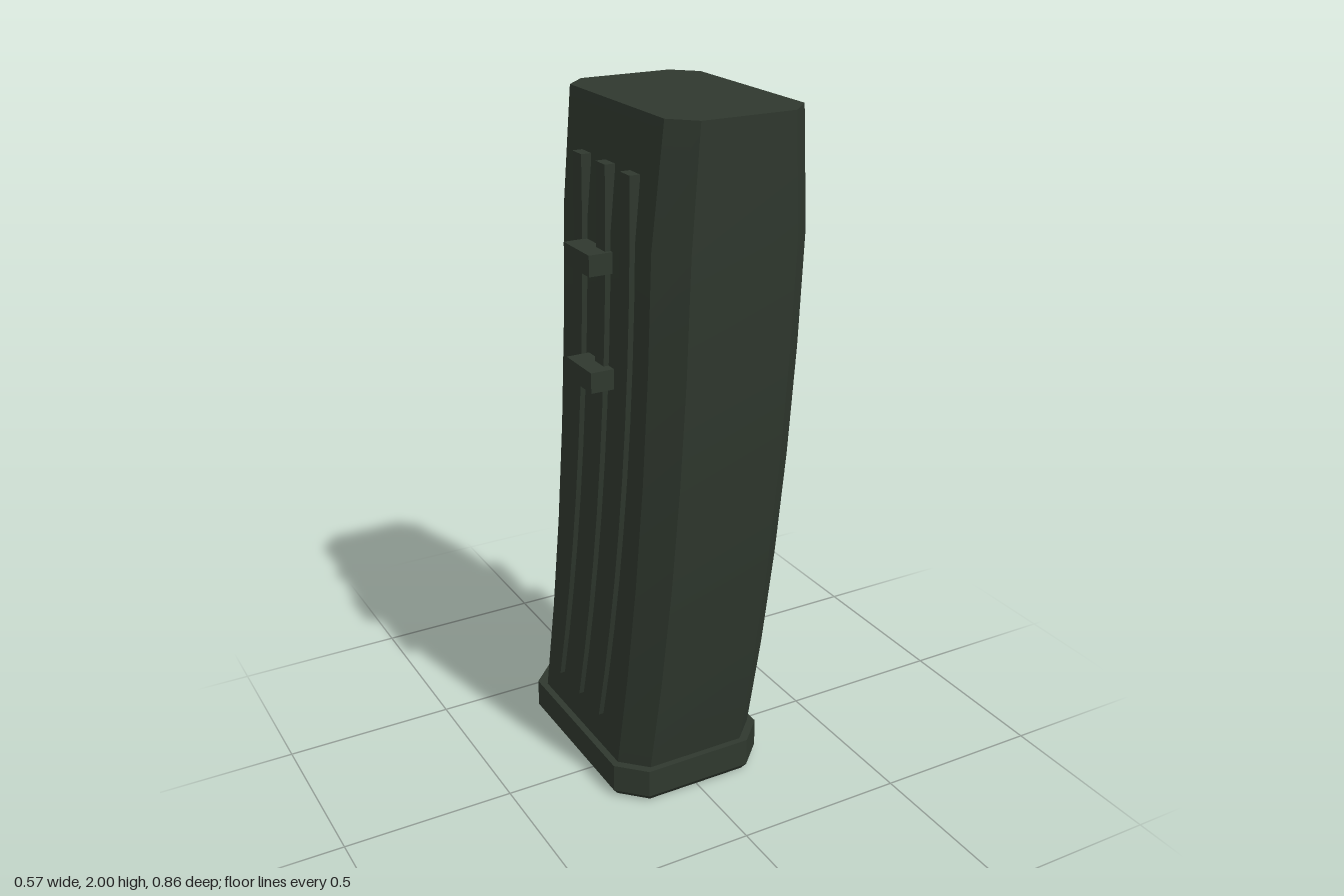
import * as THREE from 'three';
import { toCreasedNormals } from 'three/addons/utils/BufferGeometryUtils.js';

// Octagonal ring: half width, front z, back z and corner chamfer
const octagon = (hx, zf, zb, c) => [
  [hx, zf - c], [hx - c, zf], [c - hx, zf], [-hx, zf - c],
  [-hx, zb + c], [c - hx, zb], [hx - c, zb], [hx, zb + c],
];

// Rectangular ring around a centre
const rectangle = (x, z, hx, hz) => [
  [x + hx, z - hz], [x + hx, z + hz], [x - hx, z + hz], [x - hx, z - hz],
];

// Closed solid through level rings, listed bottom to top as { y, ring }
function loft(levels) {
  const pos = [];
  const n = levels[0].ring.length;
  const put = (level, i) => {
    const [x, z] = level.ring[i % n];
    pos.push(x, level.y, z);
  };
  for (let k = 0; k < levels.length - 1; k++) {
    const lo = levels[k], hi = levels[k + 1];
    for (let i = 0; i < n; i++) {
      put(lo, i); put(hi, i); put(lo, i + 1);
      put(lo, i + 1); put(hi, i); put(hi, i + 1);
    }
  }
  const bottom = levels[0], top = levels[levels.length - 1];
  for (let i = 1; i < n - 1; i++) {
    put(bottom, 0); put(bottom, i); put(bottom, i + 1);
    put(top, 0); put(top, i + 1); put(top, i);
  }
  const geo = new THREE.BufferGeometry();
  geo.setAttribute('position', new THREE.Float32BufferAttribute(pos, 3));
  return toCreasedNormals(geo, 0.3);
}

export function createModel() {
  const group = new THREE.Group();
  const darkGreen = new THREE.MeshStandardMaterial({ color: 0x2f382e });
  darkGreen.name = 'darkGreen';

  const add = (name, geometry) => {
    const mesh = new THREE.Mesh(geometry, darkGreen);
    mesh.name = name;
    group.add(mesh);
    return mesh;
  };

  // Curved body, sweeping back towards the bottom and tapering at the top
  const bodyLevels = [];
  for (let i = 0; i <= 6; i++) {
    const t = 1 - i / 6;
    const shift = 0.215 * t * t;
    const isTop = i === 6;
    bodyLevels.push({
      y: 2 - 1.9 * t,
      ring: octagon(isTop ? 0.193 : 0.22, 0.43 - shift, -0.186 - shift, isTop ? 0.062 : 0.07),
    });
  }
  add('body', loft(bodyLevels));

  // Floor plate with a bevelled underside
  add('basePlate', loft([
    { y: 0, ring: octagon(0.225, 0.22, -0.418, 0.07) },
    { y: 0.02, ring: octagon(0.24, 0.235, -0.433, 0.076) },
    { y: 0.105, ring: octagon(0.24, 0.235, -0.433, 0.076) },
  ]));

  for (const side of [1, -1]) {
    const label = side > 0 ? 'left' : 'right';

    // Three raised ribs following the curve
    [0.25, 0.122, -0.007].forEach((topZ, r) => {
      const levels = [];
      for (let i = 0; i <= 10; i++) {
        const t = 1 - i / 10;
        levels.push({
          y: 1.853 - 1.633 * t,
          ring: rectangle(side * 0.221, topZ - 0.217 * t * t, 0.014, 0.025),
        });
      }
      add(`${label}Rib${r + 1}`, loft(levels));
    });

    // Two small coupling lugs
    [1.605, 1.294].forEach((y, i) => {
      const lug = add(`${label}Lug${i + 1}`, new THREE.BoxGeometry(0.09, 0.056, 0.142));
      lug.position.set(side * 0.241, y, 0.082);
    });
  }

  return group;
}
